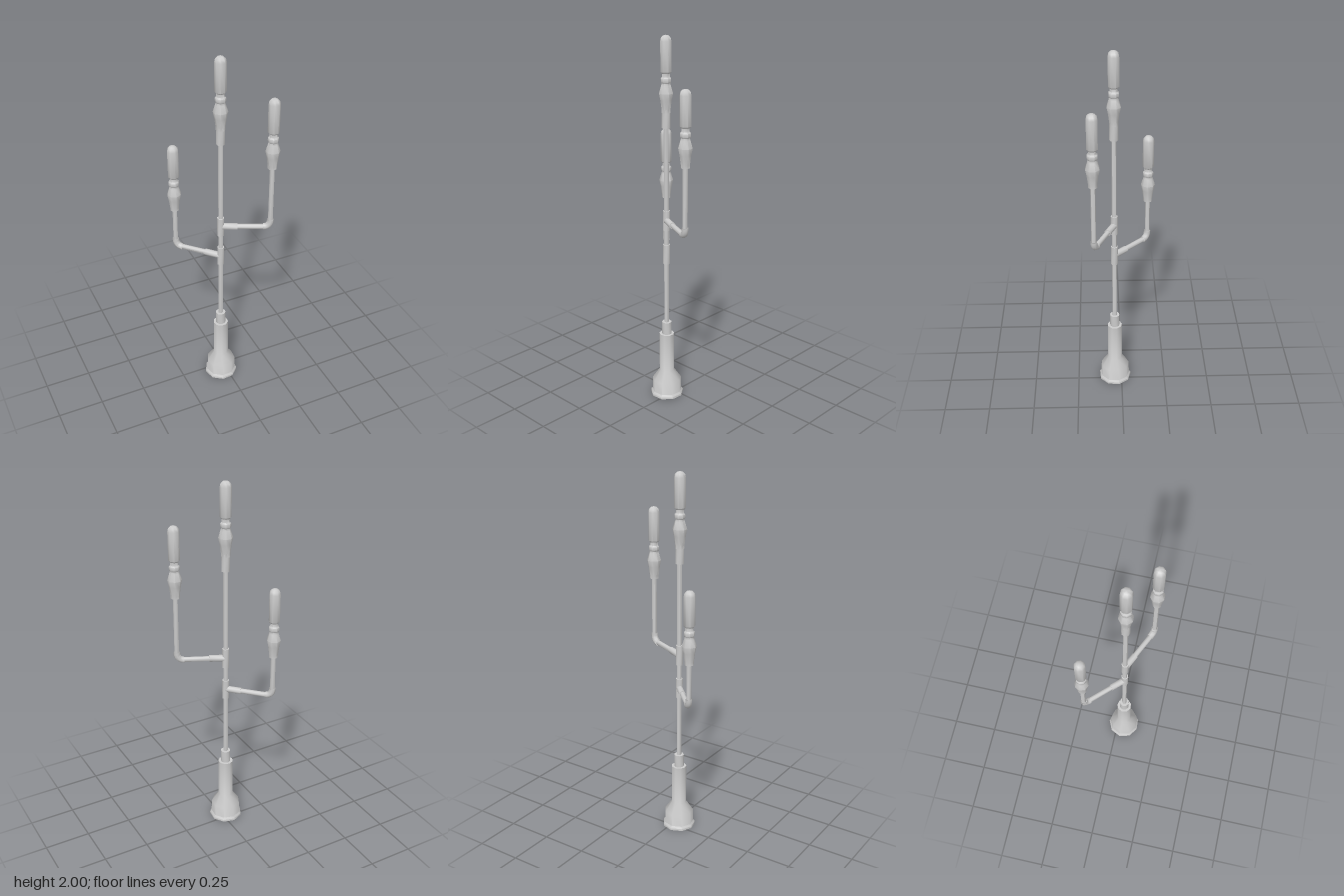
import * as THREE from 'three';
import { toCreasedNormals } from 'three/addons/utils/BufferGeometryUtils.js';

const material = new THREE.MeshStandardMaterial({ color: 0xcccccc, side: THREE.DoubleSide });
const POST = new THREE.Vector3(-0.028, 0, 0.038);

function add(parent, name, geometry, crease = 0.9) {
  const mesh = new THREE.Mesh(toCreasedNormals(geometry, crease), material);
  mesh.name = name;
  parent.add(mesh);
  return mesh;
}

// Turned part from [radius, height] pairs, listed bottom to top
function turned(parent, name, profile, sides, spin = 0) {
  const points = profile.map(([r, y]) => new THREE.Vector2(r, y));
  return add(parent, name, new THREE.LatheGeometry(points, sides, spin));
}

// Straight or bent pipe through the given path
function pipe(parent, name, path, radius, steps = 1) {
  return add(parent, name, new THREE.TubeGeometry(path, steps, radius, 8, false));
}

// Closed cylinder between two points
function sleeve(parent, name, a, b, radius) {
  const dir = b.clone().sub(a);
  const mesh = add(parent, name, new THREE.CylinderGeometry(radius, radius, dir.length(), 8));
  mesh.position.copy(a).add(b).multiplyScalar(0.5);
  mesh.quaternion.setFromUnitVectors(new THREE.Vector3(0, 1, 0), dir.normalize());
  return mesh;
}

// Lamp with its tip at y = top
function lamp(parent, x, z, top, spin) {
  const group = new THREE.Group();
  group.name = 'lamp';
  group.position.set(x, top, z);
  turned(group, 'bulb', [[0, -0.19], [0.024, -0.19], [0.03, -0.182], [0.03, -0.03],
    [0.026, -0.014], [0.016, -0.004], [0, 0]], 8, spin);
  turned(group, 'socket', [[0, -0.39], [0.024, -0.39], [0.024, -0.375], [0.031, -0.325],
    [0.038, -0.29], [0.026, -0.25], [0.023, -0.24], [0.028, -0.233], [0.028, -0.215],
    [0.021, -0.208], [0.021, -0.19]], 8, spin);
  parent.add(group);
  return group;
}

// Side arm: collar, horizontal pipe, rounded elbow, riser and lamp
function sideArm(parent, name, x, z, y, top, spin) {
  const group = new THREE.Group();
  group.name = name;
  const start = new THREE.Vector3(POST.x, y, POST.z);
  const corner = new THREE.Vector3(x, y, z);
  const out = corner.clone().sub(start).normalize();
  const up = new THREE.Vector3(0, 1, 0);
  const bendIn = corner.clone().addScaledVector(out, -0.038);
  const bendOut = corner.clone().addScaledVector(up, 0.045);

  sleeve(group, 'branchCollar', start, start.clone().addScaledVector(out, 0.088), 0.018);
  pipe(group, 'armPipe', new THREE.LineCurve3(start, bendIn), 0.014);
  pipe(group, 'elbow', new THREE.QuadraticBezierCurve3(bendIn, corner, bendOut), 0.018, 6);
  sleeve(group, 'riser', bendOut, new THREE.Vector3(x, top - 0.385, z), 0.013);
  lamp(group, x, z, top, spin);

  // Tee fitting around the post
  sleeve(group, 'teeFitting', new THREE.Vector3(POST.x, y - 0.055, POST.z),
    new THREE.Vector3(POST.x, y + 0.055, POST.z), 0.019);
  parent.add(group);
}

export function createModel() {
  const model = new THREE.Group();
  model.name = 'lampPost';

  // Hollow flared base with stepped column
  const base = turned(model, 'base', [[0.091, 0], [0.091, 0.012], [0.082, 0.022], [0.08, 0.09],
    [0.041, 0.147], [0.041, 0.37], [0.027, 0.37], [0.027, 0.44], [0.012, 0.44]], 9,
    THREE.MathUtils.degToRad(24.5));
  base.position.copy(POST);

  // Central post and top lamp on a longer sleeve
  sleeve(model, 'post', new THREE.Vector3(POST.x, 0.43, POST.z),
    new THREE.Vector3(POST.x, 1.56, POST.z), 0.013);
  const spin = Math.PI / 8;
  sleeve(model, 'topSleeve', new THREE.Vector3(POST.x, 1.53, POST.z),
    new THREE.Vector3(POST.x, 1.63, POST.z), 0.023);
  lamp(model, POST.x, POST.z, 2.0, spin);

  sideArm(model, 'leftArm', 0.208, 0.146, 1.03, 1.78, spin);
  sideArm(model, 'rightArm', -0.21, -0.148, 0.84, 1.465, -0.05);
  return model;
}
